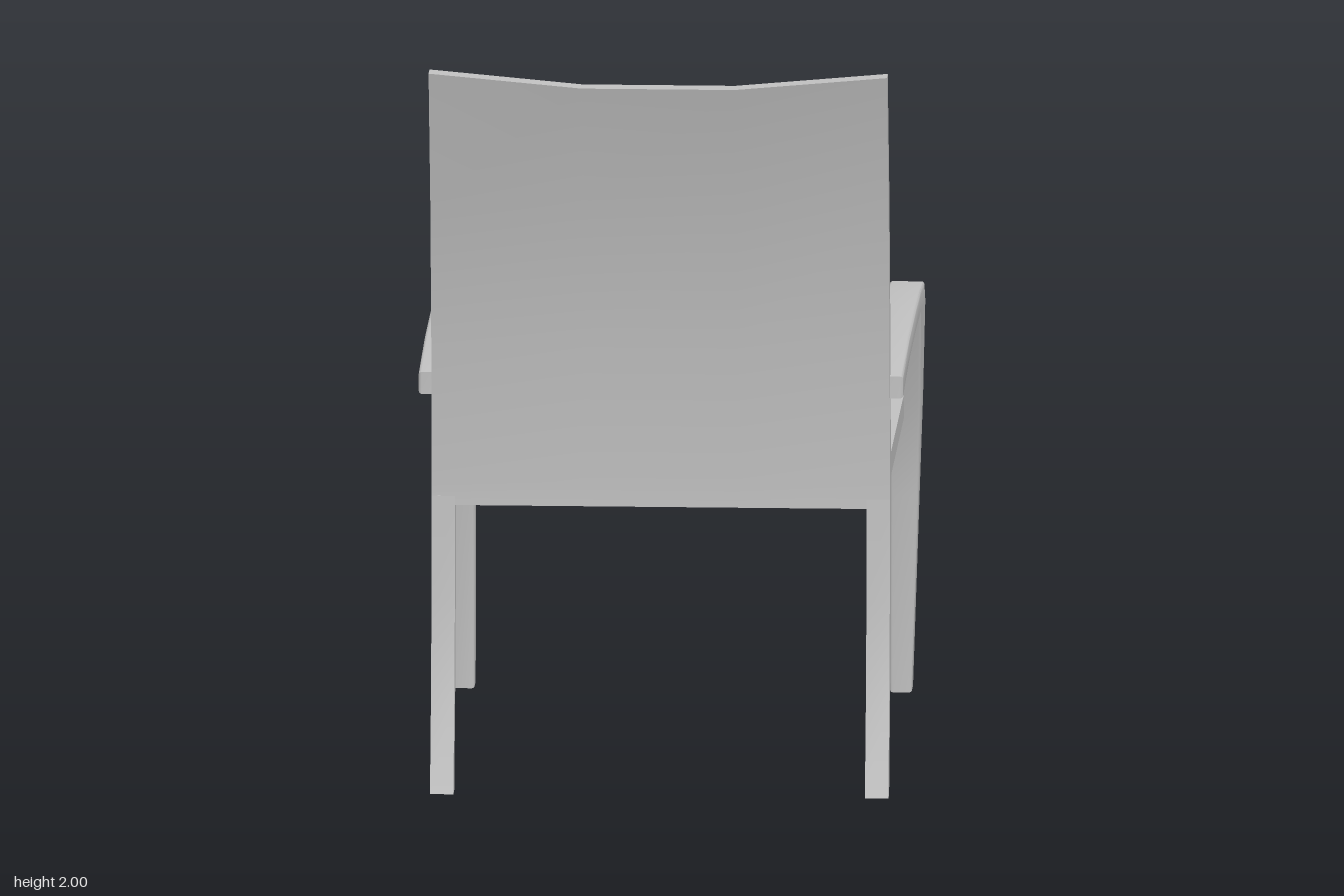
import * as THREE from 'three';
import { toCreasedNormals } from 'three/addons/utils/BufferGeometryUtils.js';

// Extrude a side profile of [z, y] points across x, centred on x = 0.
function sideExtrude(points, width, { bevel = 0, steps = 1, rule = null, crease = 0.6 } = {}) {
  const shape = new THREE.Shape(points.map(([z, y]) => new THREE.Vector2(z, y)));
  const depth = width - 2 * bevel;
  const geo = new THREE.ExtrudeGeometry(shape, {
    depth, steps, bevelEnabled: bevel > 0,
    bevelSize: bevel, bevelThickness: bevel, bevelOffset: -bevel, bevelSegments: 3,
  });
  geo.translate(0, 0, -depth / 2);
  geo.rotateY(-Math.PI / 2);
  if (rule) {
    const pos = geo.attributes.position;
    const v = new THREE.Vector3();
    for (let i = 0; i < pos.count; i++) {
      v.fromBufferAttribute(pos, i);
      rule(v);
      pos.setXYZ(i, v.x, v.y, v.z);
    }
  }
  return toCreasedNormals(geo, crease);
}

export function createModel() {
  const chair = new THREE.Group();
  chair.name = 'armchair';
  const grey = new THREE.MeshStandardMaterial({ color: 0xc0c0c0 });
  grey.name = 'plain grey';

  const add = (name, geo, x = 0, y = 0, z = 0) => {
    const mesh = new THREE.Mesh(geo, grey);
    mesh.name = name;
    mesh.position.set(x, y, z);
    chair.add(mesh);
  };

  // Curved back panel, its top edge dipping in the middle
  const back = [
    [0.757, 2], [0.655, 1.62], [0.597, 1.22], [0.574, 0.84], [0.575, 0.775],
    [0.522, 0.775], [0.521, 0.84], [0.543, 1.22], [0.6, 1.62], [0.702, 2],
  ];
  add('backrest', sideExtrude(back, 1.235, {
    steps: 3,
    rule: (v) => { if (v.y > 1.9 && Math.abs(v.x) < 0.3) v.y -= 0.037; },
  }));

  // Seat frame
  add('seatFrame', new THREE.BoxGeometry(1.2, 0.065, 1.245), 0, 0.808, -0.098);

  // Crowned cushion with rolled front and back edges
  const cushion = [
    [0.485, 0.84], [0.485, 0.9], [0.475, 0.923], [0.45, 0.934], [0.3, 0.942],
    [0.1, 0.949], [-0.15, 0.95], [-0.4, 0.946], [-0.6, 0.939], [-0.68, 0.932],
    [-0.715, 0.921], [-0.731, 0.9], [-0.735, 0.875], [-0.725, 0.84],
  ];
  add('cushion', sideExtrude(cushion, 1.105, { bevel: 0.012, crease: 0.8 }));

  const rearLeg = [
    [0.575, 0.8], [0.585, 0.52], [0.617, 0.26], [0.675, 0],
    [0.622, 0], [0.564, 0.26], [0.53, 0.52], [0.522, 0.8],
  ];
  // Armrest and front leg in one sweeping piece
  const arm = [
    [0.575, 1.14], [0.4, 1.153], [0.2, 1.165], [-0.2, 1.165], [-0.45, 1.158], [-0.66, 1.14],
    [-0.715, 1.083], [-0.753, 0.81], [-0.737, 0.5], [-0.723, 0.008],
    [-0.661, 0.008], [-0.65, 0.55], [-0.597, 0.82], [-0.485, 1.093],
    [-0.2, 1.104], [0.2, 1.104], [0.575, 1.08],
  ];
  for (const side of [1, -1]) {
    const prefix = side > 0 ? 'left' : 'right';
    add(prefix + 'RearLeg', sideExtrude(rearLeg, 0.063), side * 0.586);
    add(prefix + 'ArmAndFrontLeg', sideExtrude(arm, 0.094, {
      bevel: 0.008,
      // The outer face tapers inward towards the foot
      rule: (v) => { if (v.x * side > 0) v.x -= side * 0.034 * Math.max(0, 1 - v.y / 1.05); },
    }), side * 0.606);
  }
  return chair;
}
